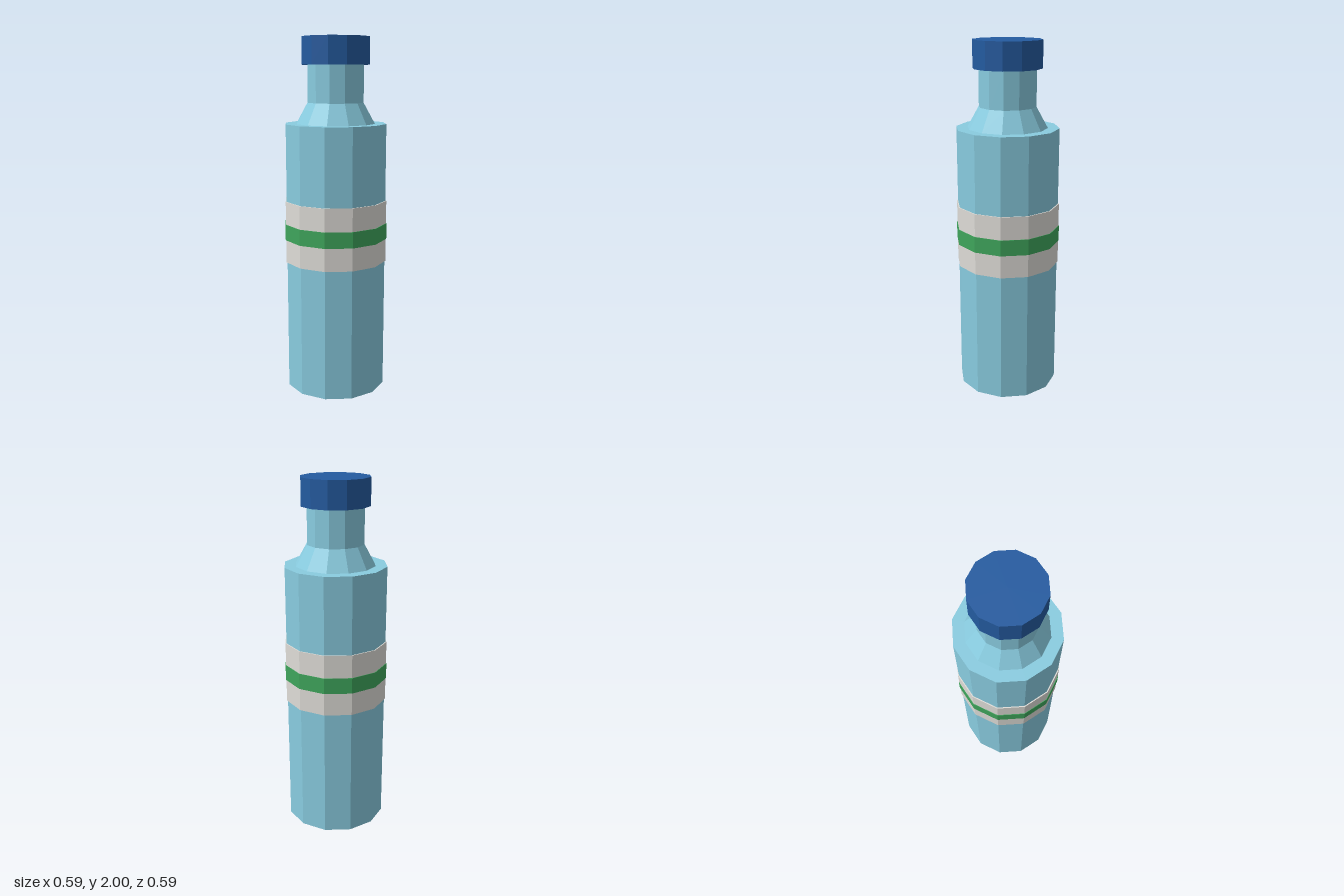
import * as THREE from 'three';

const SIDES = 12;

function material(name, color) {
  const m = new THREE.MeshStandardMaterial({ color, flatShading: true });
  m.name = name;
  return m;
}

export function createModel() {
  const bottle = new THREE.Group();
  bottle.name = 'bottle';

  const blue = material('light blue', 0x89cce0);
  const white = material('off white', 0xdfddd8);
  const green = material('green', 0x3fa65c);
  const navy = material('dark blue', 0x245ba0);

  // Adds a twelve-sided section between two heights
  function section(name, mat, y0, y1, rBottom, rTop = rBottom) {
    const geometry = new THREE.CylinderGeometry(rTop, rBottom, y1 - y0, SIDES);
    const mesh = new THREE.Mesh(geometry, mat);
    mesh.name = name;
    mesh.position.y = (y0 + y1) / 2;
    bottle.add(mesh);
  }

  // Bottle
  section('body', blue, 0, 1.53, 0.287);
  section('shoulder', blue, 1.53, 1.645, 0.223, 0.159);
  section('neck', blue, 1.645, 1.85, 0.159);

  // Label band with its stripe
  section('label', white, 0.75, 1.1, 0.293);
  section('labelStripe', green, 0.88, 0.97, 0.296);

  // Screw cap
  section('cap', navy, 1.85, 2, 0.191);

  return bottle;
}
